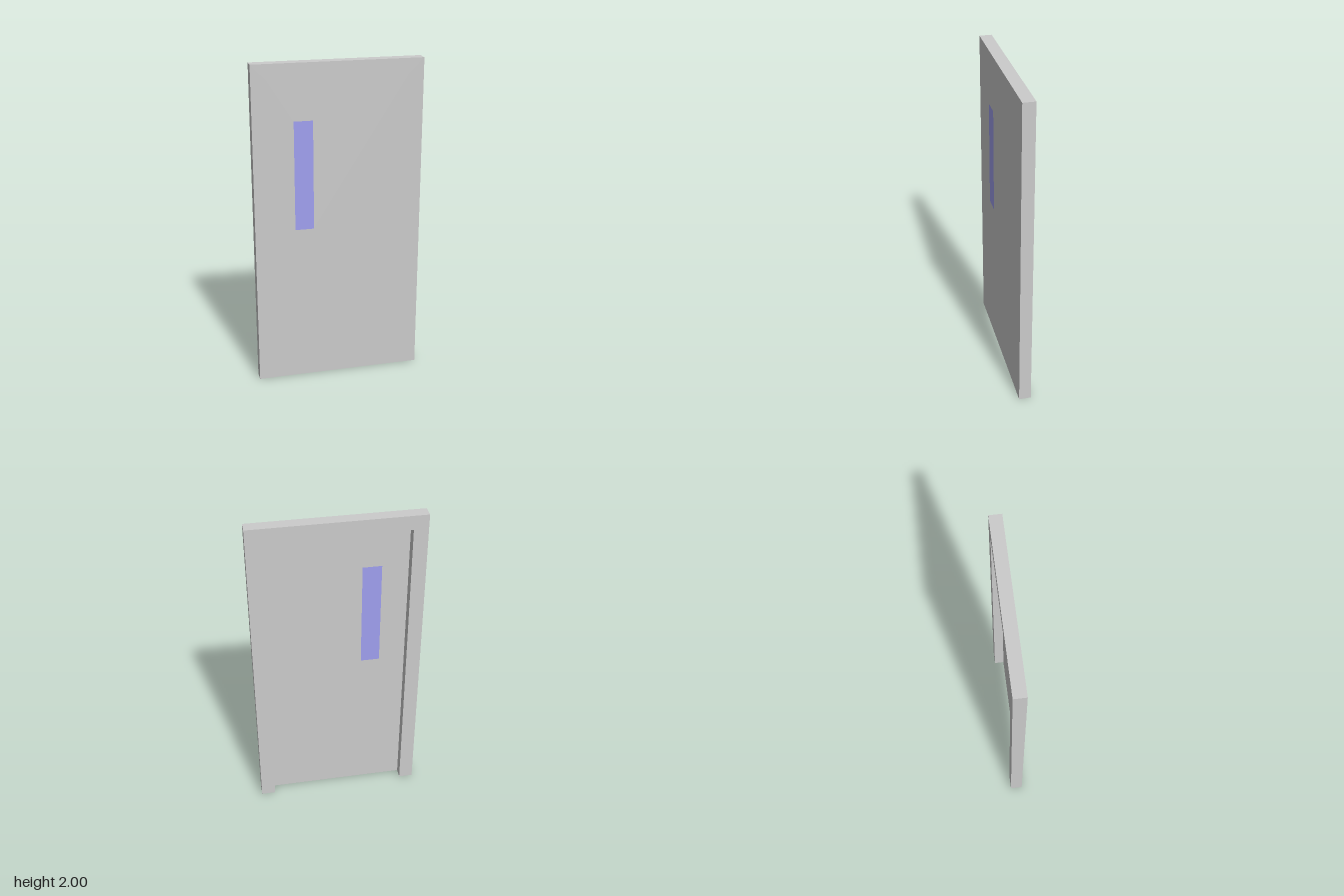
import * as THREE from 'three';

const W = 0.515, H = 2, D = 0.0375;   // half width, height, half depth
const JAMB = 0.087;                   // width of the frame members
const LEAF = 0.013;                   // thickness of the door leaf
const IN = W - JAMB, TOP = H - JAMB;  // opening
const WIN = { x0: -0.27, x1: -0.155, y0: 0.99, y1: 1.66 };

const polygon = (points) => points.map(([x, y]) => new THREE.Vector2(x, y));
const rectangle = (x0, y0, x1, y1) => polygon([[x0, y0], [x1, y0], [x1, y1], [x0, y1]]);

// Extrudes a shape from z0 to the front plane
function slab(shape, z0) {
  const geometry = new THREE.ExtrudeGeometry(shape, { depth: D - z0, bevelEnabled: false });
  return geometry.translate(0, 0, z0);
}

export function createModel() {
  const group = new THREE.Group();
  const grey = new THREE.MeshStandardMaterial({ color: 0xcccccc });
  const blue = new THREE.MeshStandardMaterial({ color: 0xa0a0f0 });
  const add = (name, geometry, material) => {
    const mesh = new THREE.Mesh(geometry, material);
    mesh.name = name;
    group.add(mesh);
    return mesh;
  };

  // Door frame: two jambs and a head, open at the floor
  const frame = new THREE.Shape(polygon([
    [-W, 0], [-IN, 0], [-IN, TOP], [IN, TOP], [IN, 0], [W, 0], [W, H], [-W, H],
  ]));
  add('doorFrame', slab(frame, -D), grey);

  // Thin leaf, flush with the front of the frame, with a window opening
  const leaf = new THREE.Shape(rectangle(-IN, 0.001, IN, TOP));
  leaf.holes.push(new THREE.Path(rectangle(WIN.x0, WIN.y0, WIN.x1, WIN.y1)));
  add('doorLeaf', slab(leaf, D - LEAF), grey);

  // Narrow glass pane, flush with both faces of the leaf
  const pane = new THREE.Shape(rectangle(WIN.x0, WIN.y0, WIN.x1, WIN.y1));
  add('windowPane', slab(pane, D - LEAF), blue);

  // Coloured strip on the underside of the leaf
  const strip = add('bottomStrip', new THREE.PlaneGeometry(2 * IN, LEAF), blue);
  strip.rotation.x = Math.PI / 2;
  strip.position.z = D - LEAF / 2;

  return group;
}
